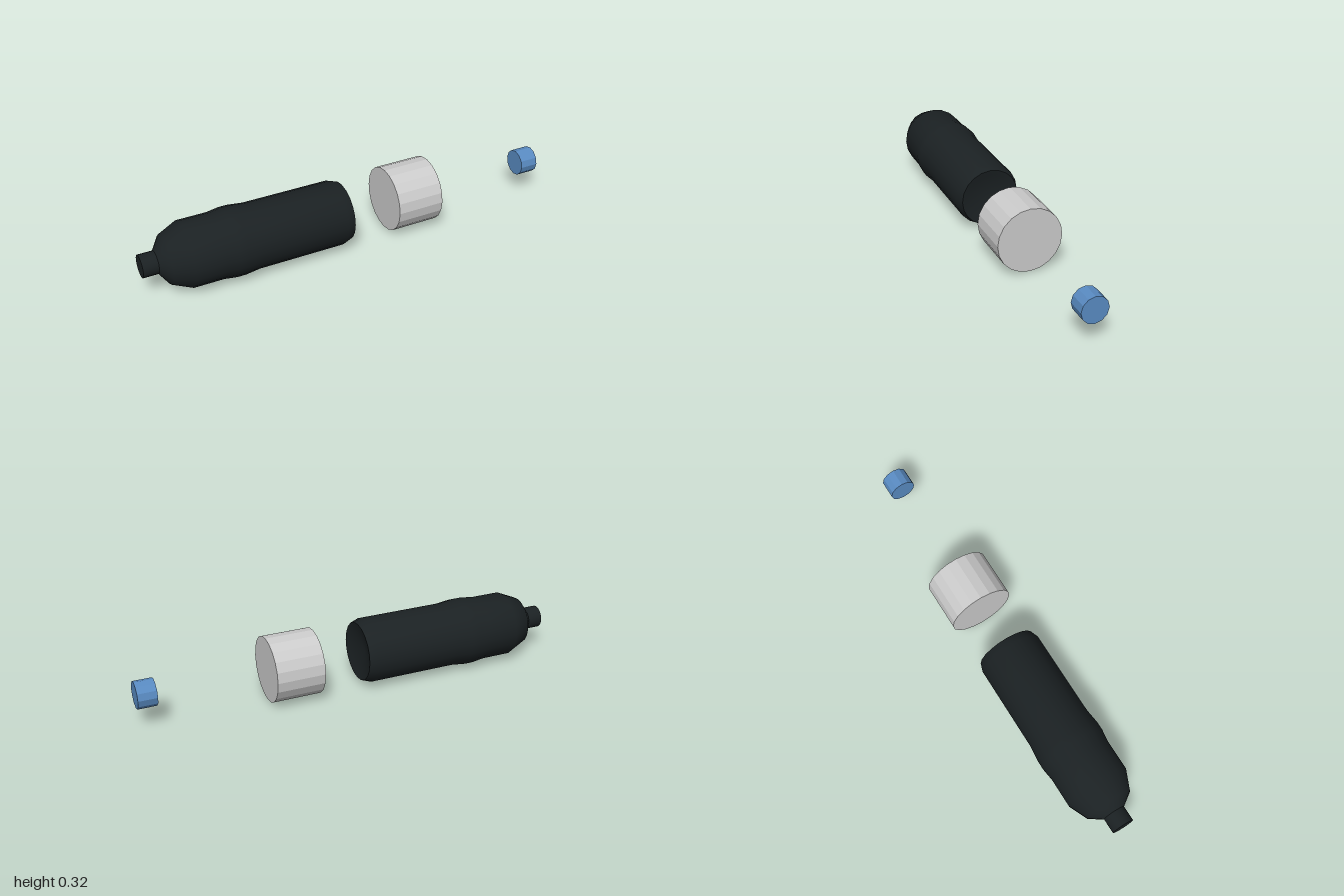
import * as THREE from 'three';
import { toCreasedNormals } from 'three/addons/utils/BufferGeometryUtils.js';

const AXIS_Y = 0.162;

// Turn an upright geometry so its axis runs along +x, at the shared axis height.
function layDown(geometry, name, material, x = 0) {
  geometry.rotateZ(-Math.PI / 2);
  const mesh = new THREE.Mesh(geometry, material);
  mesh.name = name;
  mesh.position.set(x, AXIS_Y, 0);
  return mesh;
}

// Flat-shaded closed cylinder between two x positions.
function drum(name, radius, x0, x1, sides, color) {
  const geometry = new THREE.CylinderGeometry(radius, radius, x1 - x0, sides);
  const material = new THREE.MeshStandardMaterial({ color, flatShading: true });
  return layDown(geometry, name, material, (x0 + x1) / 2);
}

export function createModel() {
  const model = new THREE.Group();
  model.name = 'bottleAndParts';

  // Bottle: neck, shoulder, swollen band, body and dished base (radius, x)
  const profile = [
    [0, -1], [0.052, -1], [0.052, -0.93], [0.112, -0.888], [0.151, -0.8],
    [0.151, -0.66], [0.159, -0.6], [0.159, -0.56], [0.151, -0.49],
    [0.151, -0.08], [0.137, -0.04], [0.115, -0.045], [0, -0.075],
  ].map(([r, x]) => new THREE.Vector2(r, x));
  const bottle = toCreasedNormals(new THREE.LatheGeometry(profile, 20), 0.7);
  model.add(layDown(bottle, 'bottle', new THREE.MeshStandardMaterial({ color: 0x1b2123 })));

  // Separate sleeve and cap on the same axis
  model.add(drum('sleeve', 0.152, 0.18, 0.405, 20, 0xcccccc));
  model.add(drum('cap', 0.062, 0.913, 1, 12, 0x598bc2));

  return model;
}
